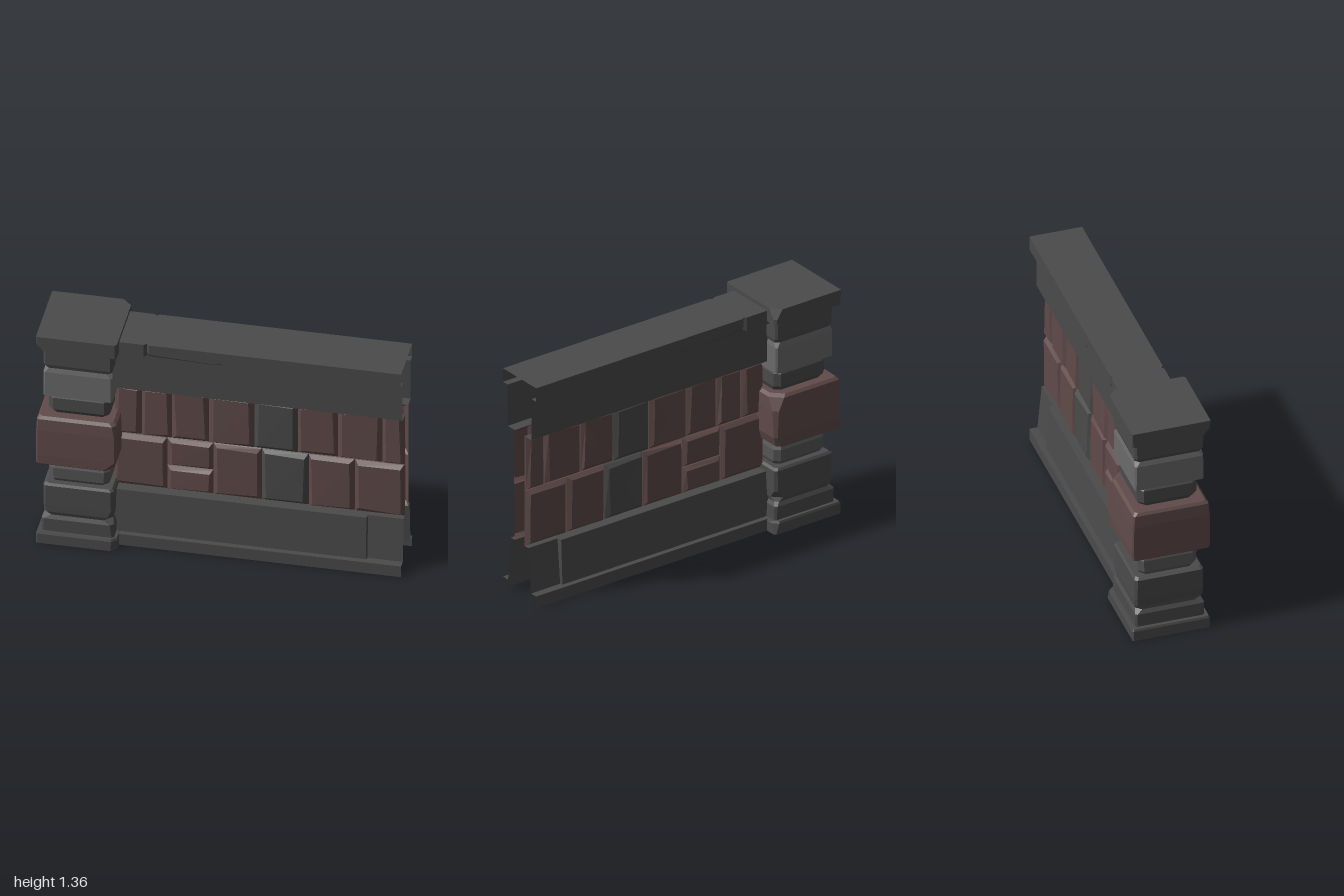
import * as THREE from 'three';

const mat = (color) => new THREE.MeshStandardMaterial({ color, flatShading: true, side: THREE.DoubleSide });
const DARK = mat(0x4b4b4b), LIGHT = mat(0x6b6b6b), MID = mat(0x585858), BROWN = mat(0x604b4a);

let seed = 7;
const jitter = (a) => {
  seed = (seed * 16807) % 2147483647;
  return (seed / 2147483647 - 0.5) * 2 * a;
};

// Flat-shaded surface through rows of points; zero-area triangles are dropped.
function skin(name, rows, material) {
  const pos = [];
  const tri = (...p) => {
    const [a, b, c] = p.map((q) => new THREE.Vector3(...q));
    if (b.clone().sub(a).cross(c.clone().sub(a)).length() > 1e-9) p.forEach((q) => pos.push(...q));
  };
  for (let i = 0; i < rows.length - 1; i++) {
    for (let j = 0; j < rows[i].length - 1; j++) {
      const a = rows[i][j], b = rows[i][j + 1], c = rows[i + 1][j + 1], d = rows[i + 1][j];
      tri(a, b, c);
      tri(a, c, d);
    }
  }
  const geo = new THREE.BufferGeometry();
  geo.setAttribute('position', new THREE.Float32BufferAttribute(pos, 3));
  geo.computeVertexNormals();
  const mesh = new THREE.Mesh(geo, material);
  mesh.name = name;
  return mesh;
}

// Stone with cut corners. Level: [y, x0, x1, half depth, corner cuts].
// Cuts are ordered left-front, right-front, right-back, left-back as seen from the front.
function stone(name, levels, material) {
  const rings = levels.map(([y, x0, x1, z, [a, b, c, d]]) => [
    [x0 + a, y, z], [x1 - b, y, z], [x1, y, z - b], [x1, y, -z + c],
    [x1 - c, y, -z], [x0 + d, y, -z], [x0, y, -z + d], [x0, y, z - a], [x0 + a, y, z],
  ]);
  const cap = ([y, x0, x1]) => Array(9).fill([(x0 + x1) / 2, y, 0]);
  return skin(name, [cap(levels[0]), ...rings, cap(levels.at(-1))], material);
}

function pillar() {
  const g = new THREE.Group();
  g.name = 'pillar';
  const even = (c) => [c, c, c, c];
  g.add(
    stone('pillarFoot', [
      [0, -1, -0.555, 0.22, [0.005, 0.035, 0.01, 0.005]],
      [0.06, -1, -0.555, 0.22, [0.005, 0.03, 0.03, 0.005]],
      [0.072, -0.995, -0.56, 0.215, [0.005, 0.03, 0.03, 0.005]],
    ], DARK),
    // lower block with a worn groove and chipped corners
    stone('pillarLowerBlock', [
      [0.07, -0.975, -0.575, 0.197, even(0.012)],
      [0.15, -0.975, -0.578, 0.197, [0.012, 0.02, 0.012, 0.012]],
      [0.172, -0.962, -0.59, 0.185, [0.04, 0.045, 0.02, 0.03]],
      [0.195, -0.962, -0.582, 0.193, [0.015, 0.03, 0.05, 0.015]],
      [0.24, -0.965, -0.58, 0.195, [0.012, 0.012, 0.015, 0.012]],
      [0.365, -0.967, -0.578, 0.195, even(0.015)],
      [0.378, -0.95, -0.59, 0.185, even(0.015)],
    ], DARK),
    stone('pillarLowerNeck', [
      [0.37, -0.93, -0.62, 0.145, even(0.03)],
      [0.4, -0.945, -0.608, 0.165, even(0.03)],
      [0.47, -0.945, -0.605, 0.17, even(0.03)],
      [0.52, -0.93, -0.62, 0.15, even(0.03)],
    ], MID),
    // wide middle block
    stone('pillarMiddleBlock', [
      [0.512, -0.985, -0.6, 0.205, even(0.02)],
      [0.525, -1, -0.575, 0.22, [0.01, 0.05, 0.02, 0.01]],
      [0.58, -1, -0.558, 0.222, [0.008, 0.01, 0.015, 0.008]],
      [0.74, -1, -0.558, 0.22, [0.008, 0.012, 0.025, 0.008]],
      [0.81, -0.997, -0.562, 0.215, [0.01, 0.02, 0.06, 0.01]],
      [0.825, -0.985, -0.58, 0.2, [0.015, 0.02, 0.06, 0.015]],
    ], BROWN),
    stone('pillarUpperNeck', [
      [0.82, -0.925, -0.62, 0.145, even(0.03)],
      [0.855, -0.945, -0.605, 0.17, even(0.03)],
      [0.93, -0.945, -0.605, 0.17, even(0.03)],
      [0.965, -0.92, -0.62, 0.15, even(0.03)],
    ], DARK),
    stone('pillarLightBand', [
      [0.957, -0.965, -0.585, 0.195, even(0.008)],
      [1.11, -0.965, -0.585, 0.195, even(0.01)],
      [1.14, -0.958, -0.59, 0.188, even(0.025)],
    ], LIGHT),
    stone('pillarUpperBlock', [
      [1.13, -0.955, -0.592, 0.186, even(0.025)],
      [1.16, -0.965, -0.583, 0.195, even(0.012)],
      [1.25, -0.965, -0.583, 0.197, even(0.012)],
      [1.272, -0.955, -0.59, 0.19, even(0.02)],
    ], DARK),
    stone('pillarCap', [
      [1.268, -1, -0.555, 0.223, [0.04, 0.01, 0.01, 0.01]],
      [1.3, -1, -0.555, 0.223, [0.015, 0.01, 0.015, 0.005]],
      [1.355, -1, -0.555, 0.223, [0.002, 0.012, 0.05, 0.002]],
    ], DARK),
  );
  return g;
}

// Bevelled brick face, open at the back.
function brick(x0, x1, y0, y1, material) {
  const corners = [[x0, y0, 1, 1], [x1, y0, -1, 1], [x1, y1, -1, -1], [x0, y1, 1, -1]];
  const ring = (inset, z, wobble) => {
    const r = corners.map(([x, y, sx, sy]) => [
      x + sx * (inset + jitter(wobble)), y + sy * (inset + jitter(wobble)), z + jitter(wobble * 0.6)]);
    return [...r, r[0]];
  };
  const front = ring(0.024, 0.071, 0.007);
  const mid = [0, 1, 2].map((k) => front.slice(0, 4).reduce((s, p) => s + p[k] / 4, 0));
  return skin('brick', [ring(0, 0.044, 0), ring(0.004, 0.052, 0.002), front, Array(5).fill(mid)], material);
}

// One face of the hollow wall, on the +z side.
function wallFace() {
  const g = new THREE.Group();
  g.name = 'wallFace';

  // top beam, stations along x: [x, chip under the lip, nick in the top edge]
  const beam = [[-0.6, 0, 0], [-0.42, 0, 0], [-0.405, 0.03, 0.012], [-0.39, 0.02, 0],
    [-0.02, 0.006, 0], [0, 0.02, 0], [0.03, 0, 0], [1, 0, 0]];
  g.add(skin('topBeam', beam.map(([x, c, n]) => [
    [x, 1.332, 0], [x, 1.332, 0.15 - n], [x, 1.25 + c, 0.15 - n], [x, 1.25, 0.15 - c],
    [x, 1.25, 0.108], [x, 1.0, 0.108], [x, 1.0, 0.044],
  ]), DARK));

  // base panel with a step near the open end: [x, top z, bottom z]
  const base = [[-0.6, 0.108, 0.12], [0.8, 0.108, 0.12], [0.804, 0.08, 0.104], [1, 0.08, 0.104]];
  g.add(skin('basePanel', base.map(([x, t, b]) => [
    [x, 0.335, 0.044], [x, 0.335, t], [x, 0.07, b], [x, 0.07, 0.15], [x, 0, 0.15],
  ]), DARK));

  // two brick courses; one brick of each is grey
  const courses = [
    { y0: 0.335, y1: 0.672, xs: [-0.6, -0.31, -0.055, 0.21, 0.47, 0.725, 1], grey: 3, split: 1 },
    { y0: 0.672, y1: 1.0, xs: [-0.6, -0.45, -0.285, -0.08, 0.17, 0.41, 0.63, 0.875, 1], grey: 4 },
  ];
  for (const { y0, y1, xs, grey, split } of courses) {
    for (let i = 0; i < xs.length - 1; i++) {
      const m = i === grey ? DARK : BROWN;
      const cuts = i === split ? [y0, 0.492, y1] : [y0, y1];
      for (let k = 0; k < cuts.length - 1; k++) g.add(brick(xs[i], xs[i + 1], cuts[k], cuts[k + 1], m));
    }
  }
  return g;
}

export function createModel() {
  const model = new THREE.Group();
  model.name = 'wallWithPillar';
  const front = wallFace();
  front.name = 'frontWall';
  const back = front.clone();
  back.name = 'backWall';
  back.scale.z = -1;
  model.add(pillar(), front, back);
  return model;
}
